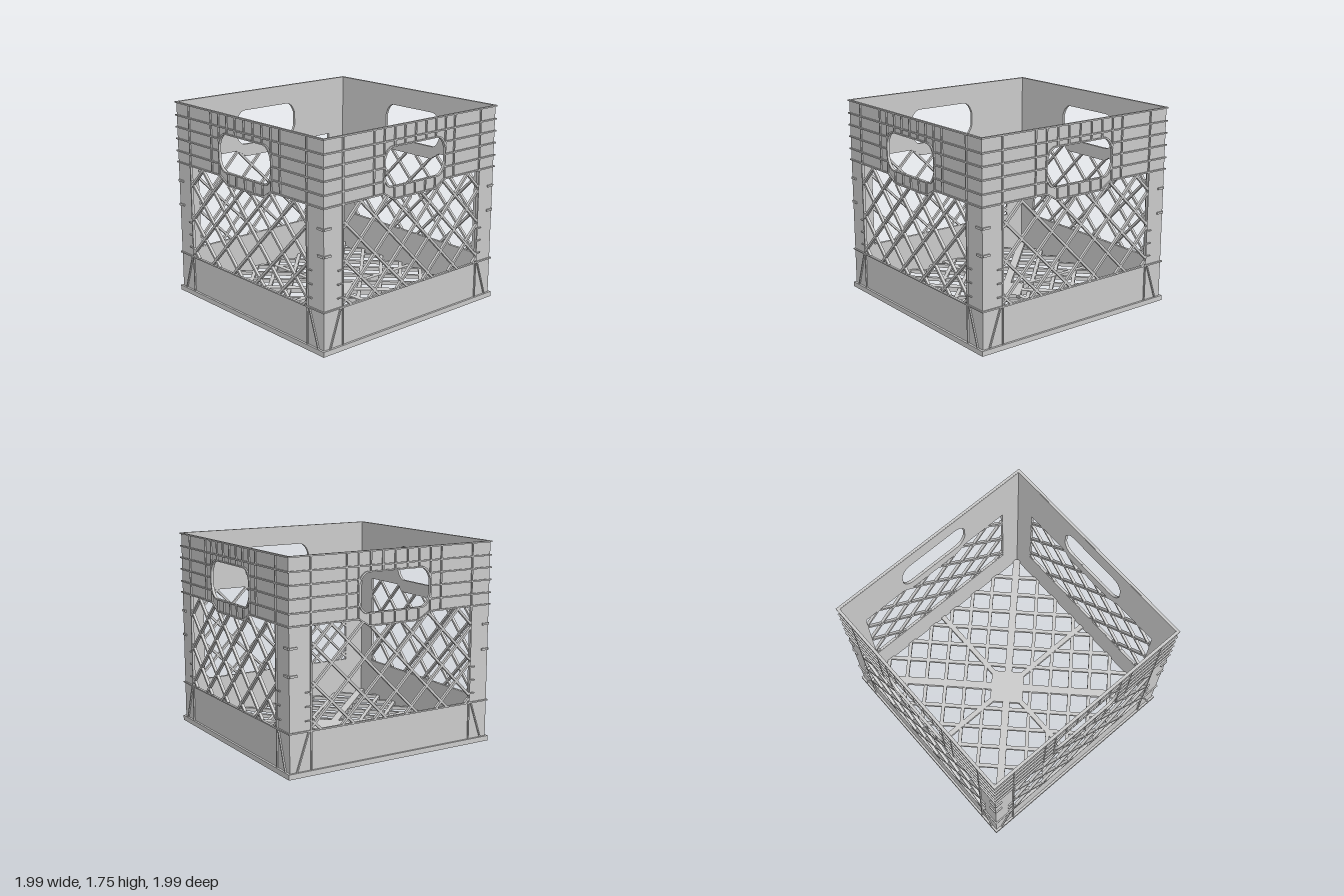
import * as THREE from 'three';

const material = new THREE.MeshStandardMaterial({ color: 0xcccccc, flatShading: true });
const IN = 0.965, PANEL = 0.978, OUT = 0.99; // wall depth layers
const HEIGHT = 1.75, WIN_X = 0.78, WIN_LOW = 0.37, WIN_TOP = 1.205;

function add(group, name, geometry) {
  const mesh = new THREE.Mesh(geometry, material);
  mesh.name = name;
  group.add(mesh);
  return mesh;
}

// Straight rib between two points of the wall plane, from depth z0 to z1
function rib(group, name, x0, y0, x1, y1, width = 0.012, z0 = IN + 0.003, z1 = OUT) {
  const m = add(group, name, new THREE.BoxGeometry(Math.hypot(x1 - x0, y1 - y0), width, z1 - z0));
  m.position.set((x0 + x1) / 2, (y0 + y1) / 2, (z0 + z1) / 2);
  m.rotation.z = Math.atan2(y1 - y0, x1 - x0);
}

// Handle outline, grown by g
function handlePath(path, g = 0) {
  const x = 0.345 + g, lo = 1.255 - g, hi = 1.575 + g, r = 0.1;
  path.moveTo(-x + r, lo).lineTo(x - r, lo).quadraticCurveTo(x - r * 0.3, lo, x, lo + r);
  path.lineTo(x, hi - r).quadraticCurveTo(x - r * 0.3, hi, x - r, hi);
  path.lineTo(-x + r, hi).quadraticCurveTo(-x + r * 0.3, hi, -x, hi - r);
  path.lineTo(-x, lo + r).quadraticCurveTo(-x + r * 0.3, lo, -x + r, lo);
  return path;
}

// Upper edge of the window, dipping under the handle
function windowTop(x) {
  const t = THREE.MathUtils.clamp((Math.abs(x) - 0.24) / 0.105, 0, 1);
  return 1.14 + t * (WIN_TOP - 1.14);
}

function extrude(shape, z0, z1) {
  return new THREE.ExtrudeGeometry(shape, { depth: z1 - z0, bevelEnabled: false, curveSegments: 6 }).translate(0, 0, z0);
}

function makeWall() {
  const wall = new THREE.Group();

  // Panel with lattice window and handle opening
  const panel = new THREE.Shape([[-PANEL, 0.01], [PANEL, 0.01], [PANEL, HEIGHT - 0.002], [-PANEL, HEIGHT - 0.002]].map(p => new THREE.Vector2(...p)));
  const win = [[-WIN_X, WIN_LOW], [-WIN_X, WIN_TOP], [-0.345, WIN_TOP], [-0.24, 1.14],
    [0.24, 1.14], [0.345, WIN_TOP], [WIN_X, WIN_TOP], [WIN_X, WIN_LOW]];
  panel.holes.push(new THREE.Path(win.map(p => new THREE.Vector2(...p))), handlePath(new THREE.Path()));
  add(wall, 'wallPanel', extrude(panel, IN, PANEL));

  // Raised lip of the handle
  const lip = handlePath(new THREE.Shape(), 0.011);
  lip.holes.push(handlePath(new THREE.Path()));
  add(wall, 'handleLip', extrude(lip, IN, OUT));

  // Horizontal ribs, broken where the handle is
  for (const y of [HEIGHT - 0.006, 1.63]) rib(wall, 'horizontalRib', -OUT, y, OUT, y);
  rib(wall, 'skirtRib', -OUT, 0.366, OUT, 0.366);
  for (const s of [-1, 1]) {
    for (const y of [1.525, 1.42, 1.31, 1.209]) rib(wall, 'horizontalRib', s * 0.35, y, s * OUT, y);
    rib(wall, 'handleTabRib', s * 0.345, 1.209, s * 0.24, 1.145);

    // Upright ribs and slanted skirt braces
    rib(wall, 'postRib', s * 0.785, 0.03, s * 0.785, HEIGHT);
    rib(wall, 'uprightRib', s * 0.46, WIN_TOP, s * 0.46, HEIGHT);
    rib(wall, 'uprightRib', s * 0.35, 1.5, s * 0.35, HEIGHT);
    rib(wall, 'uprightRib', s * 0.35, WIN_TOP, s * 0.35, 1.34);
    rib(wall, 'skirtBrace', s * 0.805, WIN_LOW, s * 0.918, 0.04);

    // Short fins on the corner posts
    for (const y of [1.04, 0.82]) rib(wall, 'cornerFin', s * 0.91, y, s * 0.978, y, 0.018);
    for (const y of [0.68, 0.565, 0.45]) rib(wall, 'postFin', s * 0.785, y, s * 0.84, y, 0.01);
  }
  rib(wall, 'handleTabRib', -0.24, 1.146, 0.24, 1.146);
  for (const x of [-0.235, -0.12, 0, 0.12, 0.235]) {
    rib(wall, 'handleRib', x, 1.58, x, HEIGHT);
    rib(wall, 'handleRib', x, 1.142, x, 1.256);
  }

  // Diagonal lattice, slightly off centre
  for (const s of [-1, 1]) {
    for (let k = -5; k <= 5; k++) {
      const c = 0.89 - s * 0.02 + k * 0.31; // y = s * x + c
      const xs = [(WIN_LOW - c) * s, (WIN_TOP - c) * s].map(x => THREE.MathUtils.clamp(x, -WIN_X, WIN_X));
      let [low, high] = xs;
      while ((high - low) * s > 0 && s * high + c > windowTop(high)) high -= s * 0.004;
      if ((high - low) * s < 0.02) continue;
      rib(wall, 'latticeBar', low, s * low + c, high, s * high + c, 0.02, IN + 0.002, 0.992);
    }
  }

  // Base rail
  rib(wall, 'baseRail', -0.997, 0.022, 0.997, 0.022, 0.044, IN, 0.997);
  return wall;
}

// Flat bar of the floor between two points (x, z)
function floorBar(group, name, x0, z0, x1, z1, width, y0, y1) {
  const m = add(group, name, new THREE.BoxGeometry(Math.hypot(x1 - x0, z1 - z0), y1 - y0, width));
  m.position.set((x0 + x1) / 2, (y0 + y1) / 2, (z0 + z1) / 2);
  m.rotation.y = -Math.atan2(z1 - z0, x1 - x0);
}

function makeFloor() {
  const floor = new THREE.Group();
  floor.name = 'floor';
  const E = 0.97;

  // Main cross, diagonals and centre hub
  floorBar(floor, 'crossBeam', -E, 0, E, 0, 0.045, 0.002, 0.042);
  floorBar(floor, 'crossBeam', 0, -E, 0, E, 0.045, 0.002, 0.042);
  for (const s of [-1, 1]) floorBar(floor, 'diagonalBeam', -0.955, -s * 0.955, 0.955, s * 0.955, 0.07, 0.001, 0.044);
  const hub = add(floor, 'centreHub', new THREE.BoxGeometry(0.31, 0.046, 0.31));
  hub.position.y = 0.023;
  hub.rotation.y = Math.PI / 4;

  // Diagonal floor lattice on both sides of each diagonal
  for (const dir of [-1, 1]) {
    for (const side of [-1, 1]) {
      for (let k = 1; k <= 6; k++) {
        const c = side * (0.05 + 0.265 * k); // z = dir * x + c
        const reach = 2 * E - Math.abs(c);
        const mid = -dir * c / 2;
        const x0 = mid - reach / 2, x1 = mid + reach / 2;
        floorBar(floor, 'floorLatticeBar', x0, dir * x0 + c, x1, dir * x1 + c, 0.033, 0.006, 0.038);
      }
    }
  }
  return floor;
}

export function createModel() {
  const crate = new THREE.Group();
  crate.name = 'crate';
  ['frontWall', 'leftWall', 'backWall', 'rightWall'].forEach((name, i) => {
    const wall = makeWall();
    wall.name = name;
    wall.rotation.y = i * Math.PI / 2;
    crate.add(wall);
  });
  crate.add(makeFloor());
  return crate;
}
